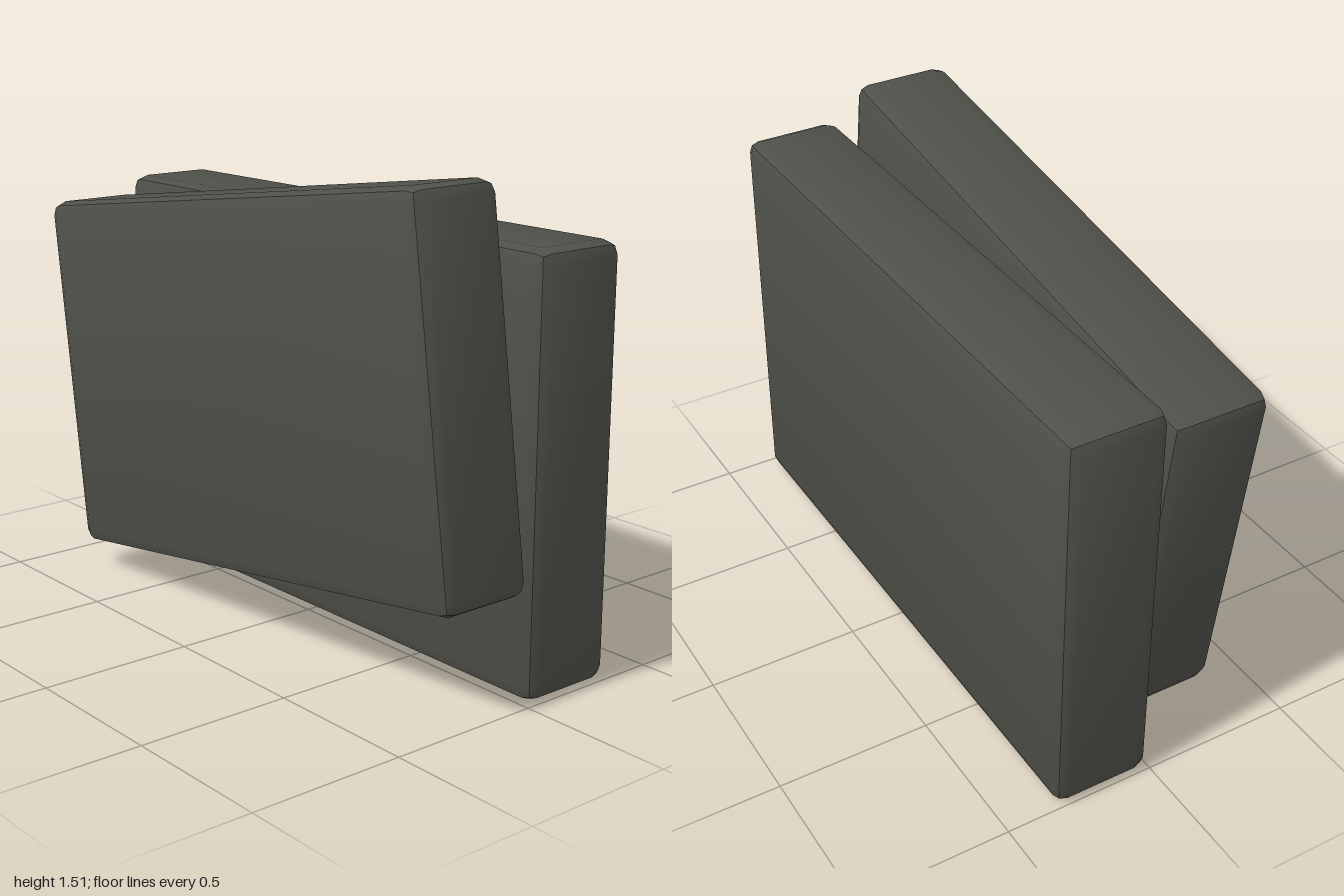
import * as THREE from 'three';
import { RoundedBoxGeometry } from 'three/addons/geometries/RoundedBoxGeometry.js';
import { toCreasedNormals } from 'three/addons/utils/BufferGeometryUtils.js';

const charcoal = new THREE.MeshStandardMaterial({ color: 0x50504a });
charcoal.name = 'charcoal';

// Block with two bevel strips along each edge, creased between them
function slab(name, width, height, depth, y, z, tilt = 0) {
  const geometry = toCreasedNormals(new RoundedBoxGeometry(width, height, depth, 1, 0.045), 0.6);
  geometry.clearGroups();
  const mesh = new THREE.Mesh(geometry, charcoal);
  mesh.name = name;
  mesh.position.set(0, y, z);
  mesh.rotation.z = tilt;
  return mesh;
}

export function createModel() {
  const model = new THREE.Group();
  model.name = 'stackedSlabs';
  // Upright slab behind, smaller tilted slab in front
  model.add(slab('backSlab', 2, 1.33, 0.328, 0.665, -0.168));
  model.add(slab('frontSlab', 1.86, 1.19, 0.328, 0.802, 0.168, THREE.MathUtils.degToRad(8)));
  return model;
}
